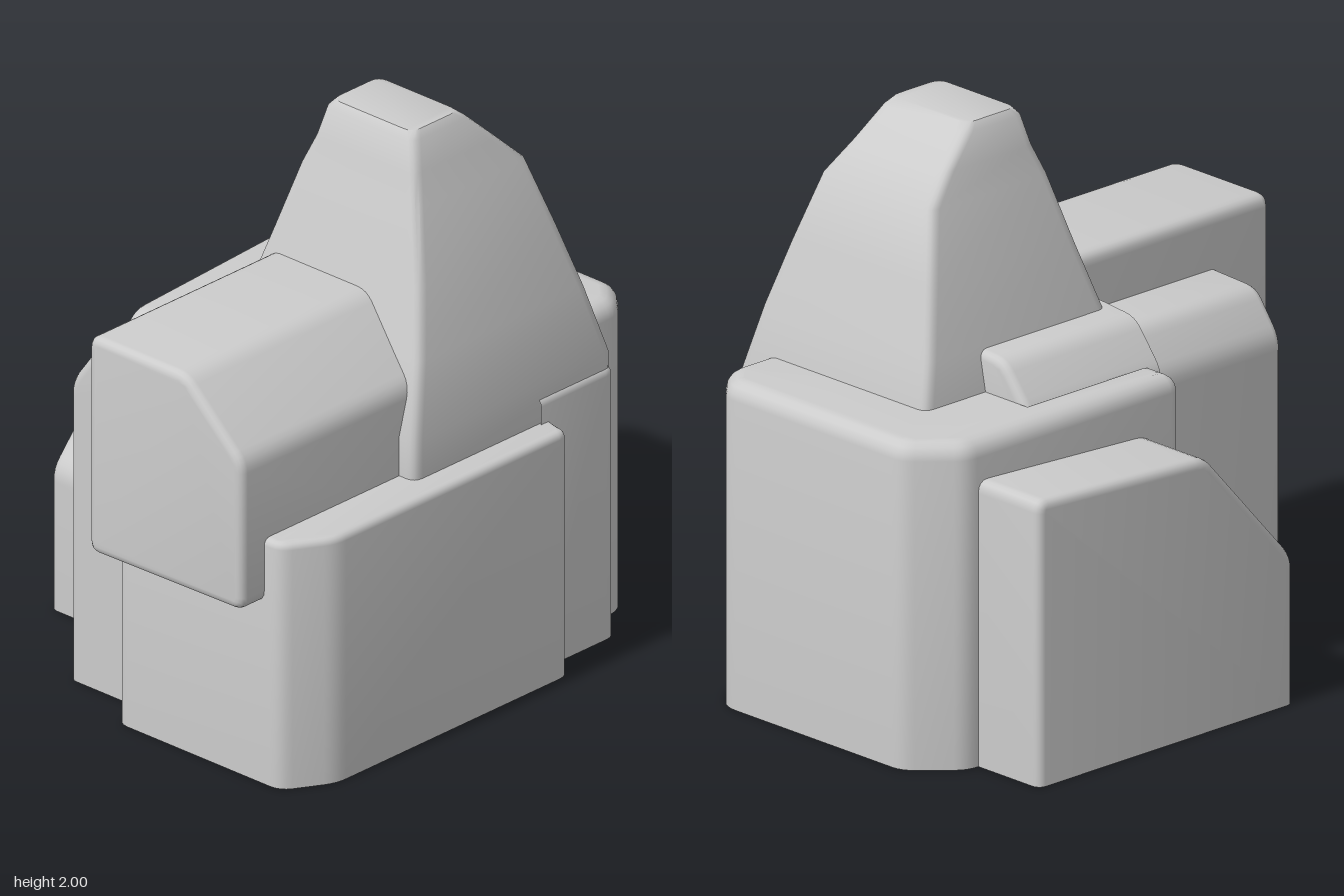
import * as THREE from 'three';
import { toCreasedNormals } from 'three/addons/utils/BufferGeometryUtils.js';

const material = new THREE.MeshStandardMaterial({ color: 0xcccccc, side: THREE.DoubleSide });

// Rounds the corners of a counter-clockwise outline. Only the first `walls`
// edges are exposed; the others lie buried in a neighbouring rock.
function roundOutline(points, walls, radius) {
  const n = points.length, out = [];
  points.forEach((p, i) => {
    const cur = new THREE.Vector2(...p);
    const prev = new THREE.Vector2(...points[(i + n - 1) % n]);
    const next = new THREE.Vector2(...points[(i + 1) % n]);
    const before = (i + n - 1) % n < walls, after = i < walls;
    if (!before || !after) {
      out.push({ p: cur, wall: after });
      return;
    }
    const cut = (q) => cur.clone().lerp(q, Math.min(radius / cur.distanceTo(q), 0.45));
    const curve = new THREE.QuadraticBezierCurve(cut(prev), cur, cut(next));
    curve.getPoints(4).forEach((q) => out.push({ p: q, wall: true }));
  });
  return out;
}

// Moves the exposed edges of an outline inwards by d
function inset(outline, d) {
  const n = outline.length;
  const edge = (i) => {
    const a = outline[i], b = outline[(i + 1) % n];
    const t = b.p.clone().sub(a.p).normalize();
    return { x: -t.y, y: t.x, d: a.wall ? d : 0 };
  };
  return outline.map(({ p }, i) => {
    const a = edge((i + n - 1) % n), b = edge(i);
    const det = a.x * b.y - a.y * b.x;
    if (Math.abs(det) < 0.01) return new THREE.Vector2(p.x + b.x * b.d, p.y + b.y * b.d);
    return new THREE.Vector2(
      p.x + (a.d * b.y - b.d * a.y) / det,
      p.y + (a.x * b.d - b.x * a.d) / det
    );
  });
}

// Skins a stack of rings [{ points, w }] and closes the last one with a cap
function loft(rings, isWall) {
  const n = rings[0].points.length, pos = [], index = [];
  rings.forEach(({ points, w }) => points.forEach((p) => pos.push(p.x, p.y, w)));
  for (let k = 0; k < rings.length - 1; k++) {
    for (let i = 0; i < n; i++) {
      if (!isWall(i)) continue;
      const a = k * n + i, b = k * n + (i + 1) % n;
      index.push(a, b, b + n, a, b + n, a + n);
    }
  }
  const top = (rings.length - 1) * n;
  THREE.ShapeUtils.triangulateShape(rings[rings.length - 1].points, [])
    .forEach((f) => index.push(...f.map((i) => top + i)));
  const geo = new THREE.BufferGeometry();
  geo.setAttribute('position', new THREE.Float32BufferAttribute(pos, 3));
  geo.setIndex(index);
  return toCreasedNormals(geo, 0.75);
}

// Straight block from w0 to w1 with a rounded rim at its capped end
function block(points, walls, w0, w1, bevel = 0.03) {
  const outline = roundOutline(points, walls, 0.045);
  const rings = [{ points: inset(outline, 0), w: w0 }];
  for (let k = 0; k <= 4; k++) {
    const a = (k / 4) * Math.PI / 2;
    rings.push({
      points: inset(outline, bevel * (1 - Math.cos(a))),
      w: w1 - bevel * (1 - Math.sin(a)),
    });
  }
  return loft(rings, (i) => outline[i].wall);
}

// Upright block from a ground plan of [x, z] points
const upright = (plan, walls, height, bevel) =>
  block(plan.map(([x, z]) => [x, -z]), walls, 0, height, bevel).rotateX(-Math.PI / 2);

export function createModel() {
  const group = new THREE.Group();
  const add = (name, geometry) => {
    const mesh = new THREE.Mesh(geometry, material);
    mesh.name = name;
    group.add(mesh);
  };

  // Large low block at the front
  add('frontBlock', upright([
    [-0.05, 0.72], [-0.05, 0.87], [0.69, 0.87], [0.79, 0.7], [0.79, -0.42], [0.68, -0.42],
    [0.55, -0.42], [0.55, 0.6],
  ], 5, 0.905, 0.025));

  // Back slab with chamfered corners, wrapping round one side
  add('backSlab', upright([
    [0.58, -0.7], [0.58, -0.88], [0.48, -0.98], [-0.36, -0.98], [-0.51, -0.82],
    [-0.51, 0.16], [-0.39, 0.16], [-0.39, -0.43], [-0.1, -0.43], [-0.1, -0.7],
  ], 6, 1.15, 0.06));

  // Pillar carrying the peak
  add('peakPillar', upright([[0.7, -0.38], [0.7, -0.74], [0.56, -0.74], [0.56, -0.38]], 2, 1.0));

  // Low side block with a sloping front, section in [z, y]
  add('sideBlock', block([
    [0.4, 0], [0.4, 0.52], [0, 0.97], [-0.77, 1.01], [-0.77, 0],
  ], 4, 0.39, 0.8).rotateY(-Math.PI / 2));

  // Tall chamfered shoulder, front and rear lengths
  add('shoulderFront', block([
    [-0.05, 1.26], [-0.28, 1.25], [-0.39, 1.1], [-0.39, 0], [-0.05, 0],
  ], 3, 0.16, 0.74));
  add('shoulderRear', block([
    [0.39, 1.08], [0.39, 1.13], [0.27, 1.28], [0.05, 1.3], [0.05, 1.08],
  ], 3, -0.18, 0.43).rotateY(Math.PI));

  // Overhanging boulder with one cut corner
  add('overhang', block([
    [-0.08, 0.66], [0.62, 0.67], [0.62, 1.22], [0.36, 1.46], [-0.08, 1.46],
  ], 5, 0.05, 0.98));

  // Tapering peak: x0, x1, z0, z1, y of each level
  const levels = [
    [-0.21, 0.69, -0.74, 0.22, 0.88],
    [-0.21, 0.69, -0.735, 0.22, 1.05],
    [-0.16, 0.64, -0.665, 0.15, 1.3],
    [-0.1, 0.575, -0.6, 0.08, 1.53],
    [-0.035, 0.5, -0.53, 0.015, 1.77],
    [0.0, 0.46, -0.43, -0.02, 1.87],
    [0.025, 0.43, -0.32, -0.045, 1.975],
    [0.045, 0.41, -0.29, -0.065, 2],
  ];
  add('peak', loft(levels.map(([x0, x1, z0, z1, y]) => ({
    points: roundOutline([[x0, -z1], [x1, -z1], [x1, -z0], [x0, -z0]], 4, 0.04).map((o) => o.p),
    w: y,
  })), () => true).rotateX(-Math.PI / 2));

  return group;
}
